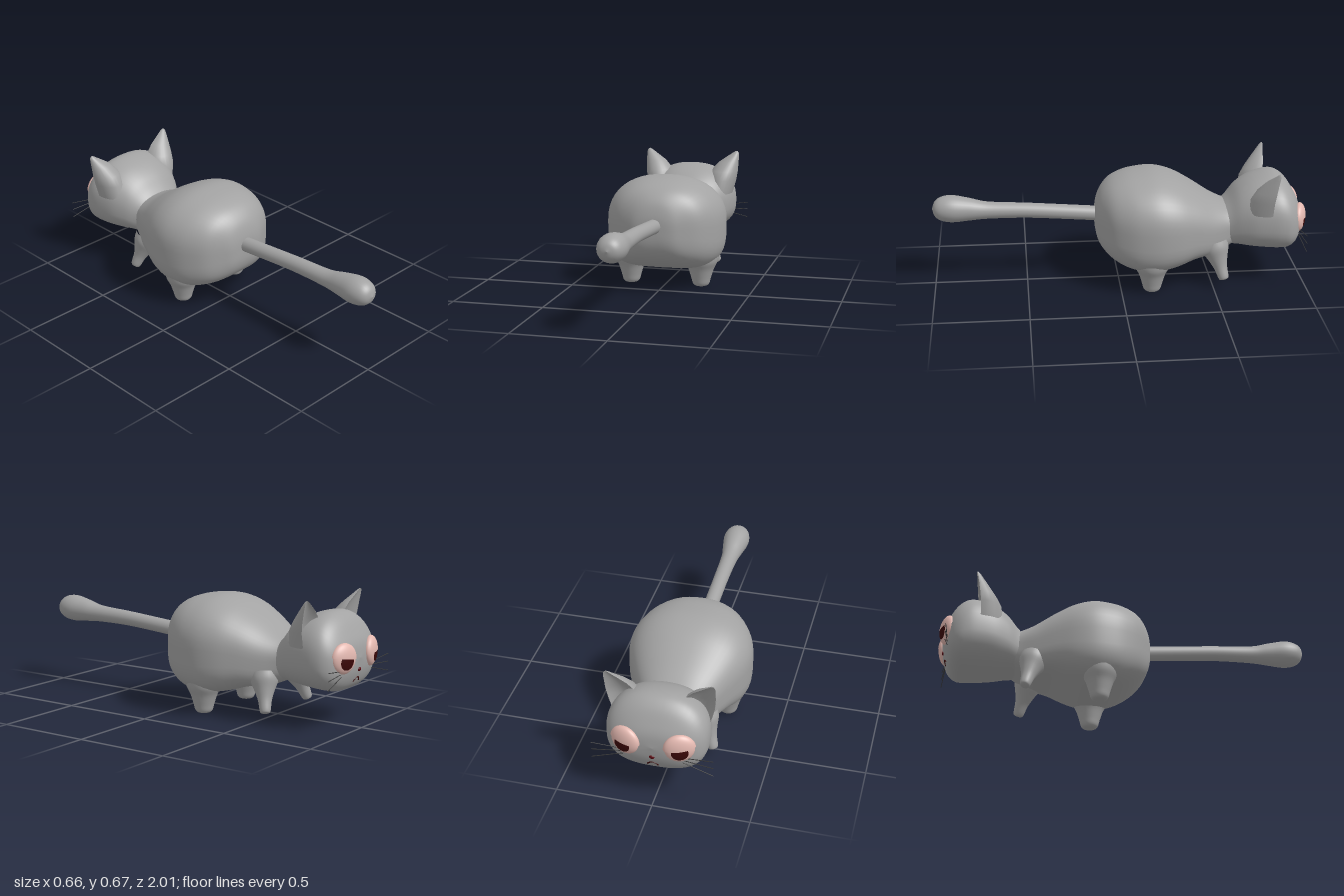
import * as THREE from 'three';

const mat = (name, color, extra = {}) => Object.assign(new THREE.MeshStandardMaterial({ color, ...extra }), { name });

// Smooth skin over closed rings of points
function skin(rings) {
  const n = rings[0].length, pos = [], idx = [];
  rings.forEach(r => r.forEach(p => pos.push(...p)));
  for (let i = 0; i < rings.length - 1; i++) for (let j = 0; j < n; j++) {
    const a = i * n + j, b = i * n + (j + 1) % n, c = a + n, d = b + n;
    idx.push(a, c, b, b, c, d);
  }
  const g = new THREE.BufferGeometry();
  g.setAttribute('position', new THREE.Float32BufferAttribute(pos, 3));
  g.setIndex(idx);
  g.computeVertexNormals();
  return g;
}

// Loft along z from keys [z, half width, top, bottom]; nUp and nLow square off the section
function loft(keys, nUp, nLow, midShare = 0.5, steps = 50, sides = 48) {
  const c1 = new THREE.CatmullRomCurve3(keys.map(k => new THREE.Vector3(k[0], k[1], 0)), false, 'catmullrom', 0.5);
  const c2 = new THREE.CatmullRomCurve3(keys.map(k => new THREE.Vector3(k[0], k[2], k[3])), false, 'catmullrom', 0.5);
  const pw = (v, n) => Math.sign(v) * Math.abs(v) ** (2 / n);
  const rings = [];
  for (let i = 0; i <= steps; i++) {
    const p = c1.getPoint(i / steps), q = c2.getPoint(i / steps), ring = [];
    const mid = q.z + (q.y - q.z) * midShare;
    for (let j = 0; j < sides; j++) {
      const a = j / sides * Math.PI * 2, s = Math.sin(a), n = s > 0 ? nUp : nLow;
      ring.push([p.y * pw(Math.cos(a), n), mid + pw(s, n) * (s > 0 ? q.y - mid : mid - q.z), p.x]);
    }
    rings.push(ring);
  }
  return skin(rings);
}

// Ear: rounded back, hollowed front; keys [y, centre x, half width, front z, back z]
function earGeometry(side) {
  const keys = [
    [0.42, 0.18, 0.07, -0.80, -0.68], [0.50, 0.188, 0.083, -0.803, -0.69], [0.55, 0.198, 0.08, -0.81, -0.72],
    [0.60, 0.222, 0.058, -0.818, -0.762], [0.635, 0.248, 0.033, -0.825, -0.795],
    [0.655, 0.262, 0.017, -0.829, -0.813], [0.663, 0.265, 0.007, -0.83, -0.823], [0.665, 0.266, 0, -0.83, -0.83]];
  const rings = keys.map(([y, cx, hw, zf, zb]) => Array.from({ length: 28 }, (_, j) => {
    const a = side * j / 28 * Math.PI * 2, s = Math.sin(a);
    return [side * (cx + hw * Math.cos(a)), y, zf + (zb - zf) * (s > 0 ? s : 0.35 * s * s)];
  }));
  return skin(rings);
}

export function createModel() {
  const group = new THREE.Group();
  const fur = mat('grey fur', 0xa3a3a3);
  const eyePink = mat('eye pink', 0xe3b8b0);
  const pupilRed = mat('pupil dark red', 0x3c0808);
  const noseRed = mat('nose red', 0x5a0a12);
  const whiskerGrey = mat('whisker grey', 0x3a3a3a);
  const add = (name, geo, m, parent = group) => {
    const mesh = new THREE.Mesh(geo, m);
    mesh.name = name;
    parent.add(mesh);
    return mesh;
  };

  // Body, head and tail
  add('body', loft([
    [0.13, 0, 0.37, 0.36], [0.124, 0.09, 0.44, 0.28], [0.1, 0.15, 0.51, 0.22], [0.05, 0.23, 0.565, 0.17],
    [-0.02, 0.283, 0.597, 0.13], [-0.1, 0.317, 0.612, 0.108], [-0.2, 0.33, 0.615, 0.105], [-0.3, 0.312, 0.587, 0.125],
    [-0.4, 0.267, 0.532, 0.155], [-0.5, 0.212, 0.468, 0.168], [-0.57, 0.172, 0.435, 0.195], [-0.62, 0.15, 0.42, 0.22]],
    2.3, 3.8), fur);
  const head = add('head', loft([
    [-0.55, 0.14, 0.41, 0.23], [-0.595, 0.167, 0.452, 0.207], [-0.65, 0.203, 0.515, 0.203], [-0.72, 0.237, 0.56, 0.195],
    [-0.8, 0.256, 0.585, 0.188], [-0.86, 0.26, 0.583, 0.185], [-0.91, 0.247, 0.548, 0.19], [-0.95, 0.207, 0.488, 0.222],
    [-0.976, 0.13, 0.43, 0.285], [-0.986, 0, 0.36, 0.36]], 2.3, 2.6, 0.46), fur);
  add('tail', loft([
    [1, 0, 0.433, 0.433], [0.985, 0.042, 0.473, 0.393], [0.95, 0.066, 0.498, 0.368], [0.89, 0.074, 0.505, 0.358],
    [0.8, 0.06, 0.487, 0.364], [0.7, 0.046, 0.463, 0.37], [0.5, 0.041, 0.45, 0.368], [0.3, 0.04, 0.434, 0.354],
    [0.13, 0.04, 0.42, 0.34], [0.06, 0.04, 0.415, 0.335]], 2, 2, 0.5, 45, 28), fur);

  // Legs: tapered turnings with rounded feet
  const lathe = pts => new THREE.LatheGeometry(
    new THREE.SplineCurve(pts.map(p => new THREE.Vector2(...p))).getPoints(24).map(p => p.set(Math.max(p.x, 0), p.y)), 28);
  const hind = lathe([[0, 0], [0.03, 0.002], [0.046, 0.015], [0.056, 0.05], [0.072, 0.1], [0.093, 0.145], [0.1, 0.2]]);
  const fore = lathe([[0, 0], [0.018, 0.002], [0.028, 0.015], [0.036, 0.07], [0.052, 0.12], [0.072, 0.17], [0.075, 0.21]]);
  const up = new THREE.Vector3(0, 1, 0);

  for (const side of [-1, 1]) {
    const tag = side > 0 ? 'Left' : 'Right';
    add('hindLeg' + tag, hind, fur).position.set(side * 0.2, 0, -0.165);
    const foreLeg = add('foreLeg' + tag, fore, fur);
    foreLeg.position.set(side * 0.21, 0.05, -0.557);
    foreLeg.quaternion.setFromUnitVectors(up, new THREE.Vector3(-side * 0.07, 0.2, 0.055).normalize());
    add('ear' + tag, earGeometry(side), fur);

    // Eye: flattened ball, half-closed lid and pupil
    const eye = new THREE.Group();
    eye.name = 'eye' + tag;
    eye.position.set(side * 0.137, 0.37, -0.965);
    eye.rotation.y = Math.PI - side * 0.3;
    eye.scale.set(1, 1, 0.45);
    group.add(eye);
    const r = 0.076;
    add('eyeball', new THREE.SphereGeometry(r, 32, 20), eyePink, eye);
    const lid = add('eyelid', new THREE.SphereGeometry(r * 1.07, 32, 12, 0, Math.PI * 2, 0, Math.PI * 0.48), eyePink, eye);
    lid.rotation.z = -side * 0.12;
    const pupil = add('pupil', new THREE.SphereGeometry(r * 1.03, 28, 8, 0, Math.PI * 2, 0, 0.58), pupilRed, eye);
    pupil.rotation.x = Math.PI / 2 + 0.15;

    // Whiskers
    [[0.31, 0.33], [0.296, 0.288], [0.282, 0.24]].forEach(([y0, y1], i) => {
      const path = new THREE.LineCurve3(new THREE.Vector3(side * 0.15, y0, -0.962), new THREE.Vector3(side * 0.31, y1, -0.978));
      add('whisker' + tag + (i + 1), new THREE.TubeGeometry(path, 1, 0.002, 6), whiskerGrey);
    });
  }

  // Nose and mouth rest on the face
  const ray = new THREE.Raycaster();
  const onFace = (x, y) => {
    ray.set(new THREE.Vector3(x, y, -2), new THREE.Vector3(0, 0, 1));
    const hit = ray.intersectObject(head)[0];
    return hit ? hit.point : new THREE.Vector3(x, y, -0.96);
  };
  const nose = add('nose', new THREE.SphereGeometry(0.014, 16, 10), noseRed);
  nose.position.copy(onFace(0, 0.3));
  nose.scale.set(1, 0.75, 0.5);
  const lip = [[-0.027, 0.238], [-0.02, 0.25], [0, 0.26], [0.02, 0.25], [0.027, 0.238]].map(p => onFace(...p));
  add('mouth', new THREE.TubeGeometry(new THREE.CatmullRomCurve3(lip), 16, 0.004, 6), pupilRed);

  return group;
}
